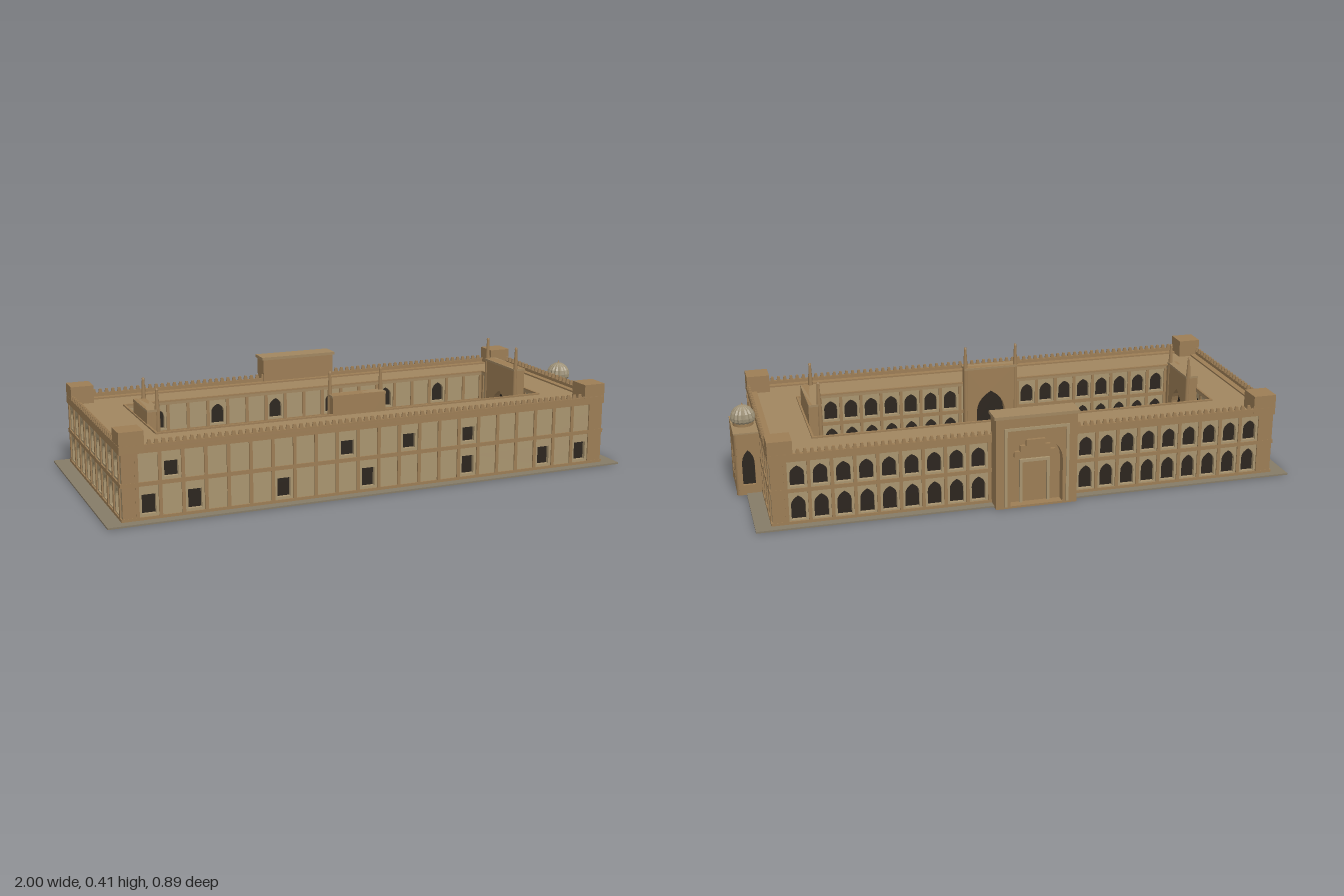
import * as THREE from 'three';
import { mergeGeometries } from 'three/addons/utils/BufferGeometryUtils.js';

const mat = (color, extra = {}) => {
  const m = new THREE.MeshStandardMaterial(extra);
  m.color.set(color);
  return m;
};
const STONE = mat(0x9c7d55), PANEL = mat(0xa8946f), DARK = mat(0x2b241d), ROOF = mat(0xa08660),
  PAVING = mat(0x9b9482), SLAB = mat(0x857b67), WATER = mat(0x47686f);
const DOME = mat(0x9d9177, { flatShading: true });

// Outer building and courtyard rectangles: centre and half sizes
const OUT = { x: -0.02, z: 0.0075, a: 0.925, b: 0.3975 };
const COURT = { x: -0.02, z: 0.005, a: 0.745, b: 0.215 };
const grow = (r, d) => ({ ...r, a: r.a + d, b: r.b + d });

function add(parent, name, geometry, material, x = 0, y = 0, z = 0) {
  const m = new THREE.Mesh(geometry, material);
  m.name = name;
  m.position.set(x, y, z);
  parent.add(m);
  return m;
}

// Box given by its centre in x and z and its bottom and top in y
const block = (p, name, material, x, z, w, d, y0, y1) =>
  add(p, name, new THREE.BoxGeometry(w, y1 - y0, d), material, x, (y0 + y1) / 2, z);

const rectPath = (P, x0, x1, y0, y1) =>
  new P([[x0, y0], [x1, y0], [x1, y1], [x0, y1]].map(c => new THREE.Vector2(...c)));

// Rectangular ring lying flat between two heights
function ring(p, name, material, o, i, y0, y1) {
  const s = rectPath(THREE.Shape, o.x - o.a, o.x + o.a, -o.z - o.b, -o.z + o.b);
  s.holes.push(rectPath(THREE.Path, i.x - i.a, i.x + i.a, -i.z - i.b, -i.z + i.b));
  const g = new THREE.ExtrudeGeometry(s, { depth: y1 - y0, bevelEnabled: false });
  add(p, name, g.rotateX(-Math.PI / 2), material, 0, y0, 0);
}

const windowHole = (x, y, w, h) => rectPath(THREE.Path, x - w / 2, x + w / 2, y, y + h);
function archHole(x, y, w, h) {
  const s = new THREE.Path();
  s.moveTo(x - w / 2, y);
  s.lineTo(x + w / 2, y);
  s.lineTo(x + w / 2, y + h * 0.6);
  s.quadraticCurveTo(x + w / 2, y + h * 0.85, x, y + h);
  s.quadraticCurveTo(x - w / 2, y + h * 0.85, x - w / 2, y + h * 0.6);
  s.closePath();
  return s;
}

// Pierced wall facing +z, with a backing plane behind the openings
function piercedWall(p, name, material, w, h, holes, depth, back = DARK) {
  const s = rectPath(THREE.Shape, -w / 2, w / 2, 0, h);
  s.holes.push(...holes);
  const g = new THREE.ExtrudeGeometry(s, { depth, bevelEnabled: false, curveSegments: 5 });
  add(p, name, g, material, 0, 0, -depth);
  add(p, name + 'Recess', new THREE.PlaneGeometry(w - 0.004, h), back, 0, h / 2, -depth + 0.001);
}

function place(parent, name, x, z, angle) {
  const g = new THREE.Group();
  g.name = name;
  g.position.set(x, 0, z);
  g.rotation.y = angle;
  parent.add(g);
  return g;
}

// Two-storey facade; opening(bay, storey) gives 'arch', 'window' or nothing
function facade(parent, name, x, z, angle, width, bays, pitch, opening) {
  const g = place(parent, name, x, z, angle), holes = [], pilasters = [];
  for (let i = 0; i <= bays; i++) {
    pilasters.push(new THREE.BoxGeometry(0.012, 0.23, 0.01).translate((i - bays / 2) * pitch, 0.12, 0));
    if (i === bays) break;
    const cx = (i + 0.5 - bays / 2) * pitch;
    [0, 1].forEach(storey => {
      const kind = opening(i, storey);
      if (kind === 'arch') holes.push(archHole(cx, storey ? 0.143 : 0.02, 0.05, storey ? 0.075 : 0.088));
      if (kind === 'window') holes.push(windowHole(cx, storey ? 0.146 : 0.025, 0.048, storey ? 0.053 : 0.067));
    });
  }
  piercedWall(g, 'wall', PANEL, width, 0.24, holes, 0.015);
  add(g, 'pilasters', mergeGeometries(pilasters), STONE);
  for (const s of [-1, 1]) {
    const end = (width - bays * pitch) / 2;
    if (end > 0.03) block(g, 'cornerPier', STONE, s * (width - end) / 2, 0, end, 0.008, 0.006, 0.24);
  }
}

// Projecting portal with one tall arch and two tapered pinnacles, facing +z
function iwan(parent, name, x, z, angle, w, h, top) {
  const g = place(parent, name, x, z, angle), depth = 0.028;
  piercedWall(g, 'portalFrame', STONE, w, h, [archHole(0, 0.008, w * 0.55, 0.21)], depth);
  block(g, 'portalBack', STONE, 0, -depth - 0.008, w, 0.016, 0, h);
  block(g, 'portalCap', ROOF, 0, -0.02, w + 0.006, 0.048, h - 0.008, h);
  for (const s of [-1, 1]) {
    const px = s * (w / 2 - 0.003);
    add(g, 'cornerShaft', new THREE.CylinderGeometry(0.008, 0.008, h, 8), STONE, px, h / 2, -0.004);
    add(g, 'pinnacle', new THREE.CylinderGeometry(0.0045, 0.009, top - h - 0.006, 8), STONE, px, (top + h - 0.006) / 2, -0.006);
    add(g, 'pinnacleCap', new THREE.CylinderGeometry(0.004, 0.006, 0.006, 8), STONE, px, top - 0.003, -0.006);
  }
}

// Little battlements along all four outer edges
function battlements(parent) {
  const parts = [];
  const row = (n, at) => {
    for (let i = 0; i <= n; i++) {
      const g = new THREE.CylinderGeometry(0.006, 0.01, 0.016, 4).rotateY(Math.PI / 4);
      parts.push(g.translate(...at(2 * i / n - 1)));
    }
  };
  for (const s of [-1, 1]) {
    row(76, t => [OUT.x + t * (OUT.a - 0.006), 0.269, OUT.z + s * (OUT.b - 0.006)]);
    row(30, t => [OUT.x + s * (OUT.a - 0.006), 0.269, OUT.z + t * (OUT.b - 0.006)]);
  }
  add(parent, 'battlements', mergeGeometries(parts), STONE);
}

// Gatehouse on the back wall
function gatehouse(parent) {
  const g = place(parent, 'gatehouse', -0.0175, -0.445, Math.PI), w = 0.295;
  piercedWall(g, 'gateFront', STONE, w, 0.335, [archHole(0, 0.008, 0.19, 0.265)], 0.035, STONE);
  block(g, 'gateBody', STONE, 0, -0.053, w, 0.036, 0, 0.335);
  block(g, 'gateCap', ROOF, 0, -0.035, 0.308, 0.08, 0.335, 0.346);
  // raised rectangular surround of the arch
  for (const s of [-1, 1]) block(g, 'surroundPost', PANEL, s * 0.112, 0, 0.01, 0.008, 0.008, 0.3);
  block(g, 'surroundTop', PANEL, 0, 0, 0.234, 0.008, 0.29, 0.3);
  // door frame and stepped hood inside the recess
  for (const s of [-1, 1]) block(g, 'doorPost', PANEL, s * 0.05, -0.03, 0.01, 0.012, 0, 0.16);
  block(g, 'doorLintel', PANEL, 0, -0.03, 0.11, 0.012, 0.16, 0.17);
  for (let i = 0; i < 3; i++)
    block(g, 'hoodStep', STONE, 0, -0.028 + i * 0.004, 0.15 - i * 0.04, 0.012, 0.18 + i * 0.022, 0.202 + i * 0.022);
}

// Domed pavilion on the right wall
function pavilion(parent) {
  const g = place(parent, 'pavilion', 0.95, 0.013, 0), h = 0.232;
  block(g, 'pavilionCore', STONE, -0.013, 0, 0.08, 0.165, 0, h);
  const front = place(g, 'pavilionFront', 0.042, 0, Math.PI / 2);
  piercedWall(front, 'frontWall', STONE, 0.17, h, [-1, 1].map(s => archHole(s * 0.045, 0.038, 0.053, 0.133)), 0.014);
  for (const s of [-1, 1]) {
    const side = place(g, 'pavilionSide', -0.003, s * 0.095, s > 0 ? 0 : Math.PI);
    piercedWall(side, 'sideWall', STONE, 0.078, h, [archHole(0, 0.038, 0.045, 0.133)], 0.012);
    add(g, 'cornerColumn', new THREE.CylinderGeometry(0.012, 0.012, h, 8), STONE, 0.032, h / 2, s * 0.084);
  }
  block(g, 'pavilionRoof', ROOF, -0.002, 0, 0.092, 0.192, h, h + 0.005);
  add(g, 'drum', new THREE.CylinderGeometry(0.037, 0.037, 0.014, 24), STONE, 0, h + 0.009, 0);
  // ribbed dome: every other meridian is pulled inwards
  const profile = [[0.036, 0], [0.044, 0.01], [0.045, 0.022], [0.041, 0.038], [0.031, 0.052], [0.016, 0.062], [0, 0.067]];
  const dome = new THREE.LatheGeometry(profile.map(c => new THREE.Vector2(...c)), 32);
  const pos = dome.attributes.position;
  for (let i = 0; i < pos.count; i++) {
    const k = Math.floor(i / profile.length) % 2 ? 0.9 : 1;
    pos.setXYZ(i, pos.getX(i) * k, pos.getY(i), pos.getZ(i) * k);
  }
  add(g, 'dome', dome, DOME, 0, 0.245, 0);
  add(g, 'finial', new THREE.ConeGeometry(0.004, 0.012, 8), STONE, 0, 0.315, 0);
}

export function createModel() {
  const model = new THREE.Group();
  model.name = 'courtyardBuilding';

  // Ground, courtyard paving and pool
  block(model, 'groundSlab', SLAB, -0.02, 0.01, 1.96, 0.86, 0, 0.006);
  block(model, 'courtyardPaving', PAVING, COURT.x, COURT.z, 1.5, 0.44, 0.003, 0.008);
  block(model, 'pool', WATER, -0.02, 0.003, 0.19, 0.055, 0.004, 0.0095);

  // Main ring, roof and parapet
  ring(model, 'core', STONE, grow(OUT, -0.02), grow(COURT, 0.02), 0.005, 0.236);
  ring(model, 'roof', ROOF, grow(OUT, -0.01), COURT, 0.234, 0.244);
  ring(model, 'cornice', STONE, OUT, grow(OUT, -0.035), 0.234, 0.25);
  ring(model, 'parapet', STONE, OUT, grow(OUT, -0.012), 0.25, 0.262);
  ring(model, 'courtyardRail', STONE, grow(COURT, 0.008), COURT, 0.244, 0.25);
  for (const [name, y0, y1] of [['plinth', 0.005, 0.016], ['storeyBand', 0.122, 0.136]]) {
    ring(model, name, STONE, OUT, grow(OUT, -0.008), y0, y1);
    ring(model, 'courtyard' + name, STONE, grow(COURT, 0.008), COURT, y0, y1);
  }
  battlements(model);
  for (const sx of [-1, 1]) for (const sz of [-1, 1])
    block(model, 'cornerTurret', STONE, OUT.x + sx * (OUT.a - 0.042), OUT.z + sz * (OUT.b - 0.042), 0.085, 0.085, 0.236, 0.31);

  // Outer facades: square windows in front and right, arcades behind and left
  const arcade = () => 'arch';
  const some = lists => (i, storey) => lists[storey].includes(i) && 'window';
  facade(model, 'frontFacade', -0.02, 0.4, 0, 1.84, 22, 0.079, some([[0, 2, 6, 10, 15, 19, 21], [1, 9, 12, 15]]));
  facade(model, 'rightFacade', 0.9, 0.0125, Math.PI / 2, 0.775, 9, 0.083, some([[0, 3, 5], [0, 2, 6, 8]]));
  facade(model, 'backFacade', -0.02, -0.385, Math.PI, 1.84, 22, 0.079, arcade);
  facade(model, 'leftFacade', -0.94, 0.0075, -Math.PI / 2, 0.785, 9, 0.083, arcade);

  // Courtyard facades
  facade(model, 'courtBack', -0.02, -0.215, 0, 1.5, 19, 0.078, (i, storey) => (!storey || i % 3 === 1) && 'arch');
  facade(model, 'courtFront', -0.02, 0.225, Math.PI, 1.5, 19, 0.078, arcade);
  facade(model, 'courtLeft', -0.77, 0.005, Math.PI / 2, 0.44, 5, 0.083, arcade);
  facade(model, 'courtRight', 0.73, 0.005, -Math.PI / 2, 0.44, 5, 0.083, arcade);

  // Portals facing the courtyard
  iwan(model, 'leftPortal', -0.725, 0.012, Math.PI / 2, 0.185, 0.3, 0.375);
  iwan(model, 'rightPortal', 0.682, 0.012, -Math.PI / 2, 0.225, 0.327, 0.41);
  iwan(model, 'frontPortal', -0.018, 0.185, Math.PI, 0.205, 0.317, 0.4);

  gatehouse(model);
  pavilion(model);
  return model;
}
